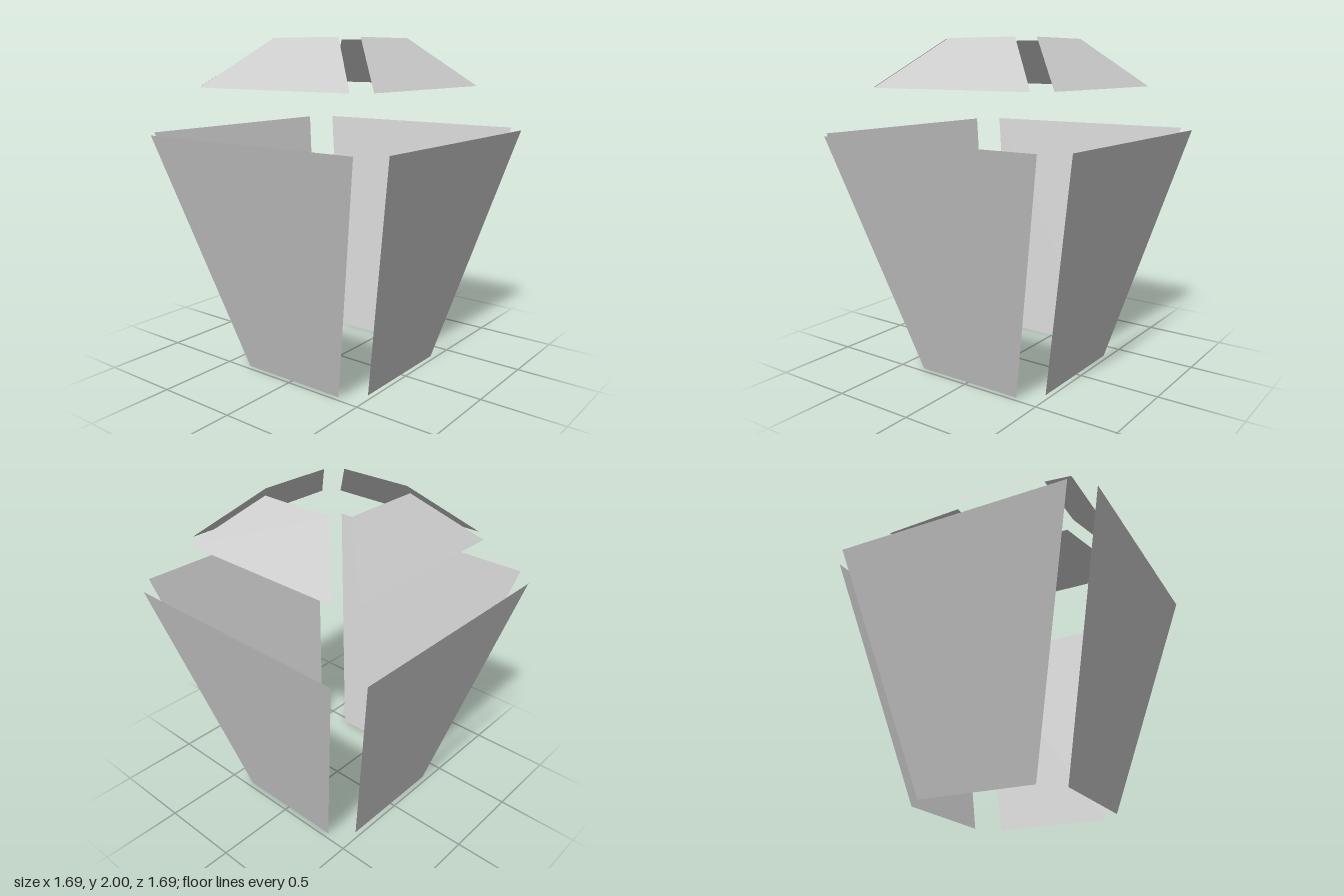
import * as THREE from 'three';

const material = new THREE.MeshStandardMaterial({ color: 0xcccccc, flatShading: true, side: THREE.DoubleSide });

// Flat trapezoid facing +z; each edge is { y, half: half width, z: distance from the axis }
function panelGeometry(bottom, top) {
  const geometry = new THREE.BufferGeometry();
  geometry.setAttribute('position', new THREE.Float32BufferAttribute([
    -bottom.half, bottom.y, bottom.z,
    bottom.half, bottom.y, bottom.z,
    top.half, top.y, top.z,
    -top.half, top.y, top.z,
  ], 3));
  geometry.setIndex([0, 1, 2, 0, 2, 3]);
  geometry.computeVertexNormals();
  return geometry;
}

export function createModel() {
  const model = new THREE.Group();
  model.name = 'lantern';

  // Tall panes flare outwards, roof panes lean inwards above them
  const pane = panelGeometry({ y: 0, half: 0.348, z: 0.468 }, { y: 1.45, half: 0.725, z: 0.845 });
  const roof = panelGeometry({ y: 1.72, half: 0.54, z: 0.626 }, { y: 2, half: 0.235, z: 0.32 });

  // One pane and one roof pane on each of the four sides
  ['front', 'left', 'back', 'right'].forEach((side, i) => {
    for (const [geometry, part] of [[pane, 'Pane'], [roof, 'RoofPane']]) {
      const mesh = new THREE.Mesh(geometry, material);
      mesh.name = side + part;
      mesh.rotation.y = i * Math.PI / 2;
      model.add(mesh);
    }
  });
  return model;
}
